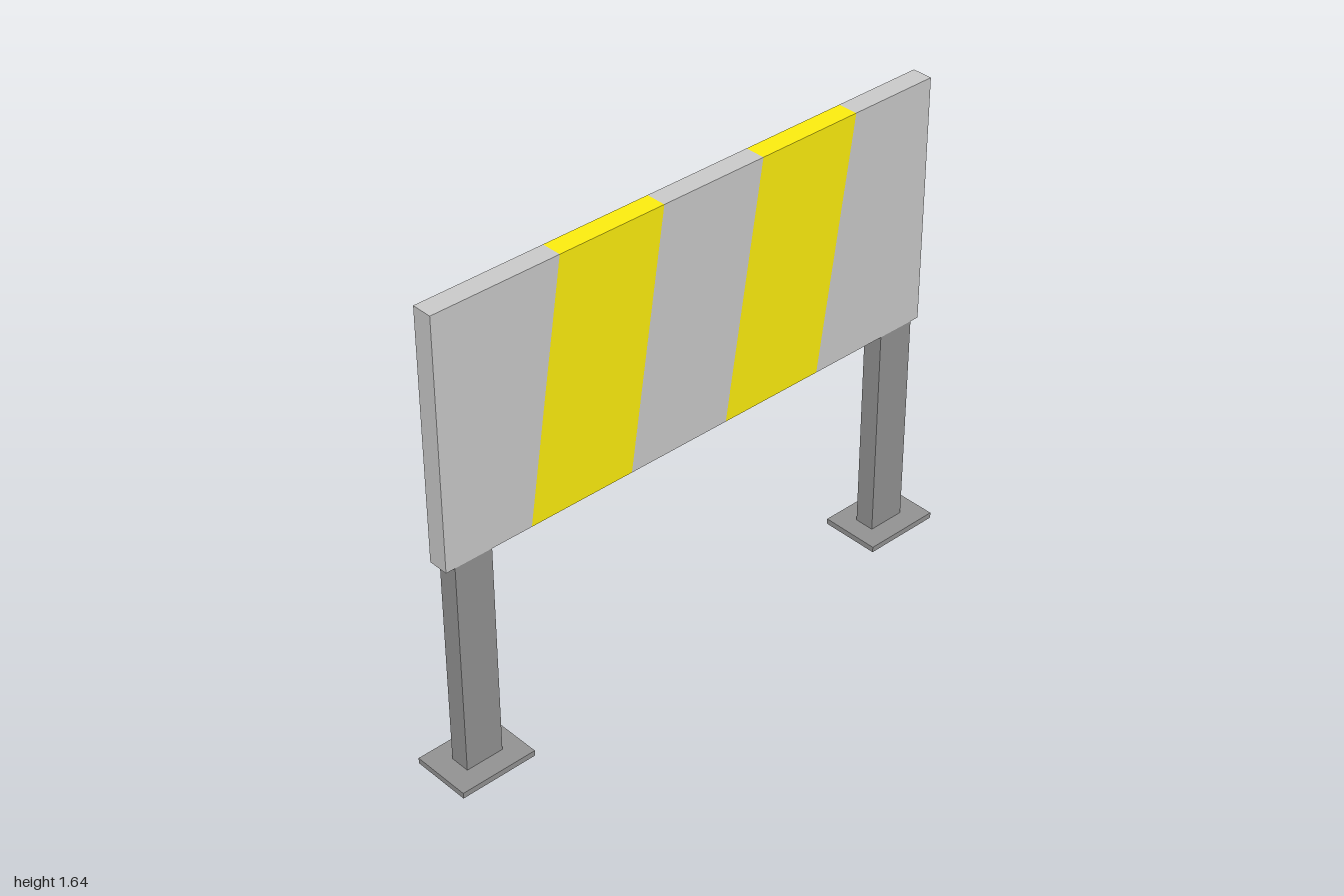
import * as THREE from 'three';

const BOARD_BOTTOM = 0.78, BOARD_TOP = 1.64, DEPTH = 0.07;

const grey = new THREE.MeshStandardMaterial({ color: 0xcccccc });
const yellow = new THREE.MeshStandardMaterial({ color: 0xfff00f });
const darkGrey = new THREE.MeshStandardMaterial({ color: 0x949494 });

function box(name, w, h, d, x, bottom) {
  const mesh = new THREE.Mesh(new THREE.BoxGeometry(w, h, d), darkGrey);
  mesh.name = name;
  mesh.position.set(x, bottom + h / 2, 0);
  return mesh;
}

// One slanted slice of the board between two dividing lines [bottomX, topX]
function boardSlice(left, right, material, name) {
  const shape = new THREE.Shape([
    new THREE.Vector2(left[0], BOARD_BOTTOM),
    new THREE.Vector2(right[0], BOARD_BOTTOM),
    new THREE.Vector2(right[1], BOARD_TOP),
    new THREE.Vector2(left[1], BOARD_TOP),
  ]);
  const geometry = new THREE.ExtrudeGeometry(shape, { depth: DEPTH, bevelEnabled: false });
  geometry.translate(0, 0, -DEPTH / 2);
  const mesh = new THREE.Mesh(geometry, material);
  mesh.name = name;
  return mesh;
}

export function createModel() {
  const model = new THREE.Group();
  model.name = 'barrier';

  // Board: alternating grey panels and yellow diagonal stripes
  const board = new THREE.Group();
  board.name = 'board';
  const lines = [[-0.96, -0.96], [-0.645, -0.51], [-0.26, -0.125], [0.12, 0.26], [0.505, 0.64], [0.96, 0.96]];
  for (let i = 0; i < lines.length - 1; i++) {
    const striped = i % 2 === 1;
    board.add(boardSlice(lines[i], lines[i + 1], striped ? yellow : grey, striped ? 'stripe' : 'panel'));
  }
  model.add(board);

  // Post and base plate on each side
  for (const side of [-1, 1]) {
    const leg = new THREE.Group();
    leg.name = side > 0 ? 'leftLeg' : 'rightLeg';
    leg.add(box('post', 0.135, BOARD_BOTTOM - 0.02, DEPTH, side * 0.86, 0.02));
    leg.add(box('basePlate', 0.275, 0.02, 0.21, side * 0.8625, 0));
    model.add(leg);
  }
  return model;
}
